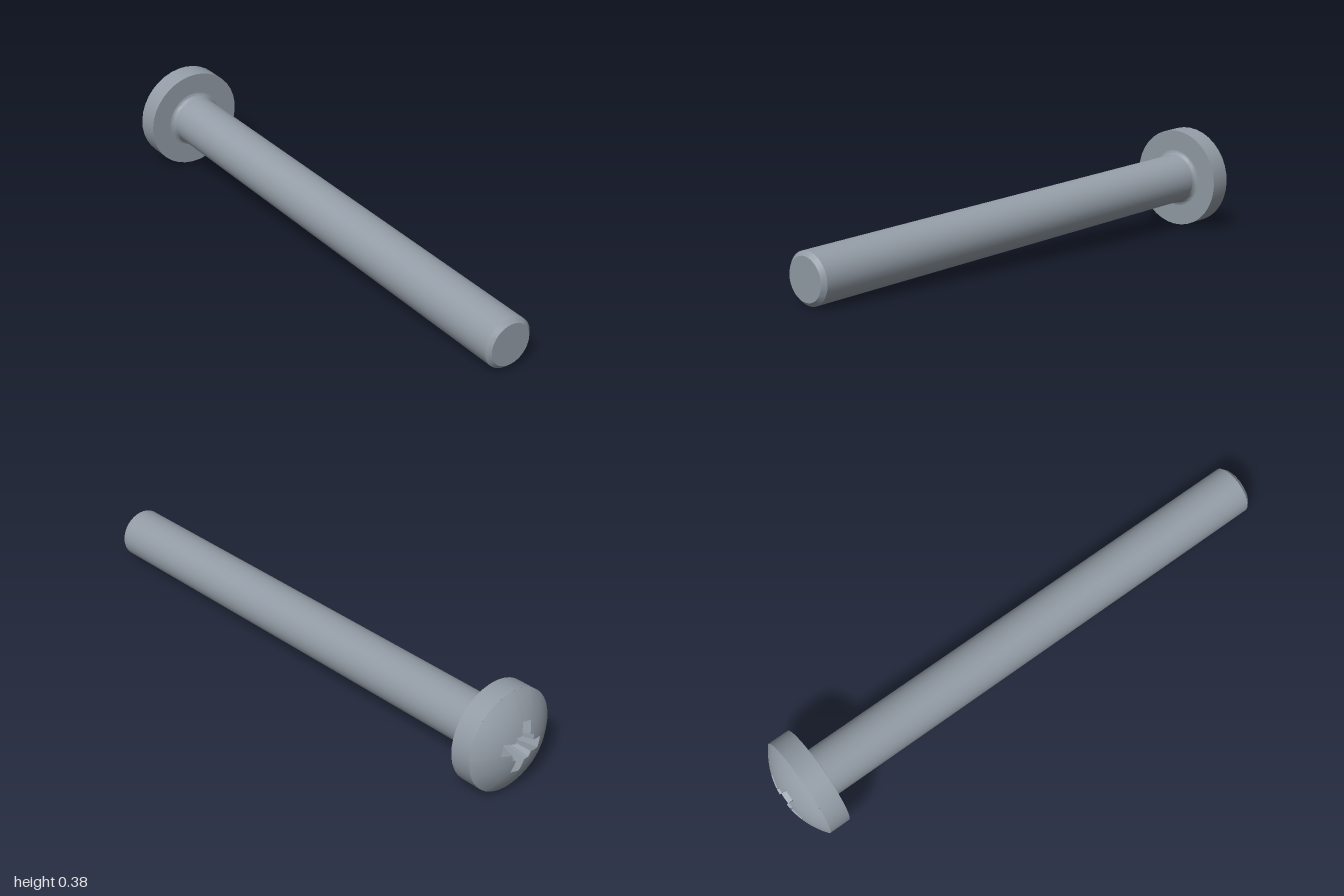
import * as THREE from 'three';
import { toCreasedNormals } from 'three/addons/utils/BufferGeometryUtils.js';

const HEAD_R = 0.187, RIM_H = 0.08, HEAD_H = 0.146;
const SHANK_R = 0.0925, LENGTH = 1.876, CHAMFER = 0.0147, FILLET = 0.016;

// Height of the spherical crown at a given radius (the head points down -y)
const SAG = HEAD_H - RIM_H;
const CROWN_R = (HEAD_R ** 2 + SAG ** 2) / (2 * SAG);
const crownY = (r) => -HEAD_H + CROWN_R - Math.sqrt(CROWN_R ** 2 - r * r);

// Surface through closed rings, listed from the centre outwards, facing -y
function ringSurface(rings) {
  const n = rings[0].length, index = [];
  for (let j = 0; j < rings.length - 1; j++) {
    for (let i = 0; i < n; i++) {
      const k = (i + 1) % n, a = j * n, b = a + n;
      index.push(a + i, b + i, b + k, a + i, b + k, a + k);
    }
  }
  const geo = new THREE.BufferGeometry();
  geo.setAttribute('position', new THREE.Float32BufferAttribute(rings.flat(2), 3));
  geo.setIndex(index);
  geo.computeVertexNormals();
  return geo;
}

// Cross outline of the drive recess as finely divided [x, z] points
function crossOutline() {
  const arm = 0.092, w = 0.021, corners = [], out = [];
  const quarter = [[arm, -w], [arm, w], [0.046, w], [0.041, 0.041], [w, 0.046]];
  for (let q = 0; q < 4; q++) {
    const c = Math.round(Math.cos(q * Math.PI / 2)), s = Math.round(Math.sin(q * Math.PI / 2));
    for (const [x, z] of quarter) corners.push([x * c - z * s, x * s + z * c]);
  }
  corners.forEach(([x, z], i) => {
    const [x2, z2] = corners[(i + 1) % corners.length];
    for (let t = 0; t < 3; t++) out.push([x + (x2 - x) * t / 3, z + (z2 - z) * t / 3]);
  });
  return out;
}

function lathe(profile) {
  const points = profile.map(([x, y]) => new THREE.Vector2(x, y));
  return toCreasedNormals(new THREE.LatheGeometry(points, 36), 0.6);
}

export function createModel() {
  const steel = new THREE.MeshStandardMaterial({ color: 0x939ca6 });
  steel.name = 'steel';
  const screw = new THREE.Group();
  screw.name = 'screw';
  const add = (name, geo) => {
    const mesh = new THREE.Mesh(geo, steel);
    mesh.name = name;
    screw.add(mesh);
  };

  // Head side and flat underside
  add('headRim', lathe([[HEAD_R, -RIM_H], [HEAD_R, 0], [SHANK_R + FILLET, 0]]));

  // Shank with a fillet at the neck and a chamfered tip
  const shank = [];
  for (let i = 0; i <= 4; i++) {
    const a = i / 4 * Math.PI / 2;
    shank.push([SHANK_R + FILLET * (1 - Math.sin(a)), FILLET * (1 - Math.cos(a))]);
  }
  shank.push([SHANK_R, LENGTH - CHAMFER], [SHANK_R - CHAMFER, LENGTH], [0, LENGTH]);
  add('shank', lathe(shank));

  // Domed crown, open around the recess
  const outline = crossOutline();
  const crown = [];
  for (let j = 0; j <= 8; j++) {
    crown.push(outline.map(([x, z]) => {
      const r0 = Math.hypot(x, z), r = r0 + (HEAD_R - r0) * j / 8;
      return [x / r0 * r, crownY(r), z / r0 * r];
    }));
  }
  add('headCrown', ringSurface(crown));

  // Tapered cross recess
  const floor = outline.map(([x, z]) => [x * 0.55, -HEAD_H + 0.085, z * 0.55]);
  const bottom = outline.map(() => [0, -HEAD_H + 0.1, 0]);
  add('driveRecess', toCreasedNormals(ringSurface([bottom, floor, crown[0]]), 0.3));

  // Lay the screw down: y runs along the shank, x along one arm of the recess
  const axis = new THREE.Vector3(0.977, -0.051, 0.208).normalize();
  const roll = THREE.MathUtils.degToRad(17);
  const armDir = new THREE.Vector3(0, Math.cos(roll), Math.sin(roll));
  armDir.addScaledVector(axis, -armDir.dot(axis)).normalize();
  const side = new THREE.Vector3().crossVectors(armDir, axis);
  screw.quaternion.setFromRotationMatrix(new THREE.Matrix4().makeBasis(armDir, axis, side));
  screw.position.set(-0.85, 0.19, -0.141);

  const model = new THREE.Group();
  model.name = 'machineScrew';
  model.add(screw);
  return model;
}
